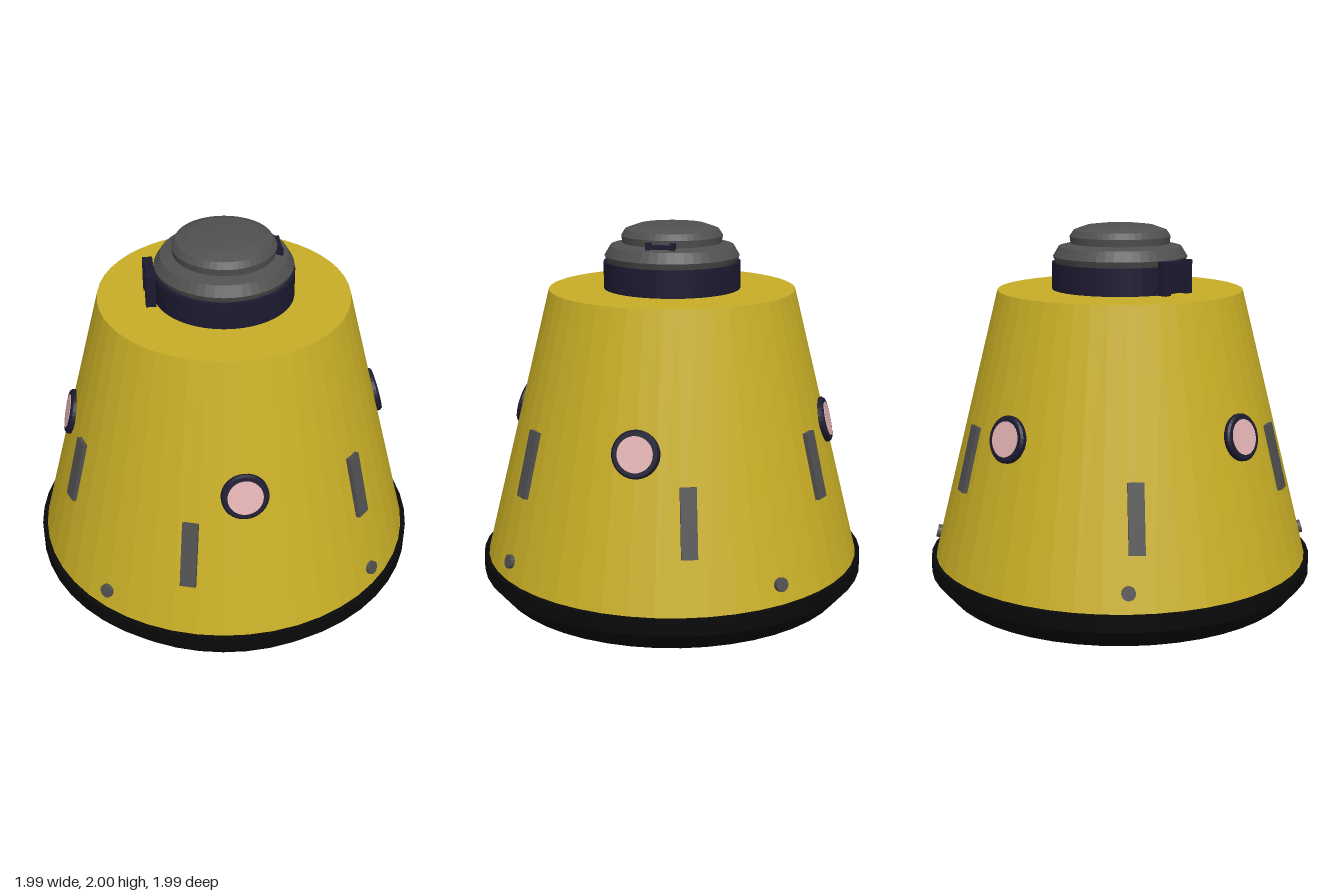
import * as THREE from 'three';

const SEG = 48;
const BASE_Y = 0.29, TOP_Y = 1.67, BASE_R = 0.97, TOP_R = 0.622;
const SLOPE = Math.atan((BASE_R - TOP_R) / (TOP_Y - BASE_Y));
const wallRadius = (y) => BASE_R - Math.tan(SLOPE) * (y - BASE_Y);

function material(name, color) {
  const m = new THREE.MeshStandardMaterial({ color, flatShading: true });
  m.name = name;
  return m;
}

function lathe(points, segments = SEG) {
  return new THREE.LatheGeometry(points.map(([r, y]) => new THREE.Vector2(r, y)), segments);
}

export function createModel() {
  const yellow = material('hull yellow', 0xc8ae26);
  const black = material('shield black', 0x090909);
  const grey = material('metal grey', 0x505050);
  const navy = material('trim navy', 0x1c1a30);
  const pink = material('window pink', 0xe2b2b2);

  const model = new THREE.Group();
  model.name = 'capsule';

  function add(parent, name, geometry, mat, x = 0, y = 0, z = 0) {
    const mesh = new THREE.Mesh(geometry, mat);
    mesh.name = name;
    mesh.position.set(x, y, z);
    parent.add(mesh);
    return mesh;
  }

  // Group lying on the sloped wall, its local +z pointing outwards
  function wallMount(name, degrees, y) {
    const pivot = new THREE.Group();
    pivot.name = name;
    pivot.rotation.y = THREE.MathUtils.degToRad(degrees);
    const mount = new THREE.Group();
    mount.position.set(0, y, wallRadius(y));
    mount.rotation.x = -SLOPE;
    pivot.add(mount);
    model.add(pivot);
    return mount;
  }

  // Conical hull
  add(model, 'hull', new THREE.CylinderGeometry(TOP_R, BASE_R, TOP_Y - BASE_Y, SEG), yellow,
    0, (TOP_Y + BASE_Y) / 2, 0);

  // Shallow heat shield under the hull
  add(model, 'heatShield', lathe([
    [0, 0], [0.63, 0.04], [0.91, 0.11], [0.995, 0.21], [0.995, 0.29], [0, 0.29],
  ]), black);

  // Docking collar and stepped hatch dome
  add(model, 'collar', new THREE.CylinderGeometry(0.345, 0.345, 0.14, SEG), navy, 0, 1.735, 0);
  add(model, 'hatchDome', lathe([
    [0, 1.8], [0.325, 1.8], [0.34, 1.835], [0.31, 1.885], [0.25, 1.9], [0.255, 1.935],
    [0.235, 1.965], [0.17, 1.988], [0.08, 1.998], [0, 2],
  ]), grey);

  // Hatch hinge on the right side
  const hinge = new THREE.Group();
  hinge.name = 'hatchHinge';
  model.add(hinge);
  for (const s of [-1, 1]) {
    add(hinge, 'hingePost', new THREE.BoxGeometry(0.05, 0.165, 0.04), navy, -0.365, 1.753, s * 0.08);
  }
  add(hinge, 'hingeBar', new THREE.BoxGeometry(0.04, 0.08, 0.13), navy, -0.363, 1.79, 0);

  // Hatch handle on the left side
  const handle = new THREE.Group();
  handle.name = 'hatchHandle';
  model.add(handle);
  for (const s of [-1, 1]) {
    add(handle, 'handleEnd', new THREE.BoxGeometry(0.035, 0.04, 0.025), navy, 0.26, 1.905, s * 0.06);
  }
  add(handle, 'handleBar', new THREE.BoxGeometry(0.025, 0.02, 0.11), navy, 0.265, 1.905, 0);

  // Four round windows with raised frames
  const frame = lathe([[0.085, -0.02], [0.115, -0.02], [0.115, 0.012], [0.106, 0.022],
    [0.085, 0.022], [0.085, -0.02]], 32).rotateX(Math.PI / 2);
  const pane = new THREE.CylinderGeometry(0.086, 0.086, 0.009, 32).rotateX(Math.PI / 2);
  for (let i = 0; i < 4; i++) {
    const mount = wallMount('window', i * 90, 1.02);
    add(mount, 'windowFrame', frame, navy);
    add(mount, 'windowPane', pane, pink, 0, 0, 0.02);
  }

  // Upper and lower rows of wall bars: [angle, centre height]
  const bar = new THREE.BoxGeometry(0.078, 0.335, 0.04);
  const bars = [[45, 0.867], [159, 0.867], [290.4, 0.867], [-18.2, 0.715], [107.4, 0.715], [227.6, 0.715]];
  for (const [angle, y] of bars) add(wallMount('wallBar', angle, y), 'bar', bar, grey);

  // Small round thruster caps near the base
  const cap = new THREE.CylinderGeometry(0.034, 0.034, 0.04, 16).rotateX(Math.PI / 2);
  for (let i = 0; i < 4; i++) add(wallMount('thruster', 45 + i * 90, 0.385), 'thrusterCap', cap, grey);

  return model;
}
